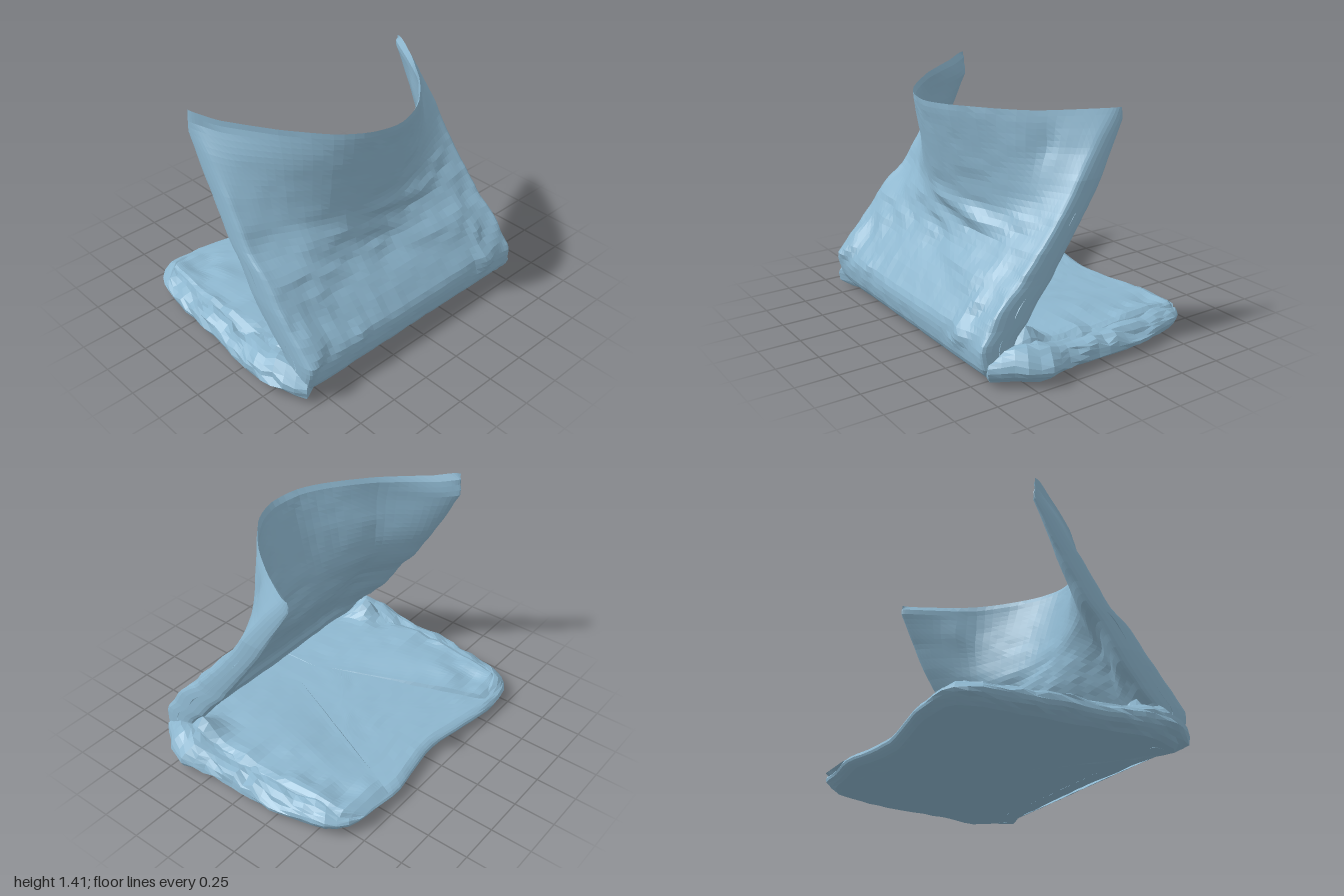
import * as THREE from 'three';

const material = new THREE.MeshStandardMaterial({ color: 0x8db6ce, flatShading: true, side: THREE.DoubleSide });
const { lerp, smoothstep } = THREE.MathUtils;

// Piecewise linear lookup through [key, value] pairs
function lookup(table, k) {
  if (k <= table[0][0]) return table[0][1];
  for (let i = 1; i < table.length; i++) {
    const [a, va] = table[i - 1], [b, vb] = table[i];
    if (k <= b) return lerp(va, vb, (k - a) / (b - a));
  }
  return table[table.length - 1][1];
}

// Smooth seeded value noise in 2D, range -1..1
function hash(i, j) {
  const s = Math.sin(i * 127.1 + j * 311.7) * 43758.5453;
  return (s - Math.floor(s)) * 2 - 1;
}
function noise(x, y) {
  const i = Math.floor(x), j = Math.floor(y);
  const a = smoothstep(x - i, 0, 1), b = smoothstep(y - j, 0, 1);
  return lerp(lerp(hash(i, j), hash(i + 1, j), a), lerp(hash(i, j + 1), hash(i + 1, j + 1), a), b);
}
const bump = (x, y, cx, cy, rx, ry) => Math.exp(-(((x - cx) / rx) ** 2) - ((y - cy) / ry) ** 2);

// Surface from a rule that maps u, v in 0..1 to a point
function surface(name, nu, nv, rule) {
  const positions = [], index = [];
  for (let j = 0; j <= nv; j++)
    for (let i = 0; i <= nu; i++) positions.push(...rule(i / nu, j / nv));
  for (let j = 0; j < nv; j++)
    for (let i = 0; i < nu; i++) {
      const a = j * (nu + 1) + i, b = a + 1, d = a + nu + 1, c = d + 1;
      index.push(a, b, d, b, c, d);
    }
  const geometry = new THREE.BufferGeometry();
  geometry.setAttribute('position', new THREE.Float32BufferAttribute(positions, 3));
  geometry.setIndex(index);
  geometry.computeVertexNormals();
  const mesh = new THREE.Mesh(geometry, material);
  mesh.name = name;
  return mesh;
}

// Lying pouch with a rounded, crumpled rim and a shallow middle panel
function createPouch() {
  const outline = new THREE.CatmullRomCurve3([
    [-0.88, 0.72], [-0.95, 0.58], [-0.99, 0.45], [-0.96, 0.2], [-0.93, -0.25], [-0.87, -0.6], [-0.78, -0.7],
    [-0.55, -0.73], [-0.3, -0.69], [-0.05, -0.65], [0.2, -0.68], [0.37, -0.71], [0.55, -0.69], [0.8, -0.65],
    [0.87, -0.55], [0.94, -0.2], [0.95, 0.2], [0.99, 0.45], [0.91, 0.58], [0.83, 0.7], [0.72, 0.66], [0, 0.65], [-0.76, 0.66],
  ].map(([x, z]) => new THREE.Vector3(x, 0, z)), true, 'centripetal');
  const rim = outline.getSpacedPoints(90);

  return surface('lyingPouch', 90, 40, (u, v) => {
    const p = rim[Math.round((1 - u) * 90) % 90];
    // v runs from the underside centre, round the rim, to the top centre
    const angle = v - 0.5;
    const s = 1 - Math.pow(Math.abs(angle) * 2, 1.6);
    const x = p.x * s, z = p.z * s;
    const edge = Math.sign(angle) * Math.pow(Math.min(1, (1 - s) / 0.08), 0.5);
    const sides = smoothstep(Math.abs(x), 0.6, 0.85);
    const knuckles = 0.05 * (bump(x, z, -0.86, 0.5, 0.15, 0.2) + bump(x, z, 0.86, 0.5, 0.15, 0.2));
    const top = lerp(lerp(0.11, 0.14, smoothstep(z, -0.7, 0.3)), 0.155, sides) + knuckles;
    const low = 0.012 + 0.015 * bump(x, z, 0, 0.7, 0.3, 0.2) + 0.02 * smoothstep(-z, 0.45, 0.7);
    const rough = smoothstep(s, 0.6, 0.95) * smoothstep(Math.abs(x), 0.3, 0.85);
    const y = lerp(low, top, 0.5 + edge / 2) + noise(x * 13 + 5, z * 13 + v * 9) * (angle > 0 ? 0.003 + 0.018 * rough : 0.004);
    const push = 1 + 0.015 * rough * noise(z * 15, v * 30 + x * 4);
    return [x * push, Math.max(0, y), z * push];
  });
}

// Folded side panel on the pouch: diagonal inner edge, rising to a crumpled outer ridge
function createSidePanel(side) {
  const outerX = [[-0.69, 0.7], [-0.6, 0.81], [-0.25, 0.88], [0.2, 0.91], [0.45, 0.92], [0.6, 0.84]];
  const height = [[-0.69, 0.13], [-0.6, 0.165], [-0.4, 0.16], [-0.1, 0.18], [0.3, 0.165], [0.6, 0.15]];
  return surface(side > 0 ? 'leftSidePanel' : 'rightSidePanel', 20, 30, (s, t) => {
    const z = lerp(0.6, -0.69, t);
    const inner = side * (0.03 + Math.max(0, 0.36 - z) * 0.46) - 0.06;
    const across = side > 0 ? s : 1 - s;
    const x = lerp(inner, side * lookup(outerX, z), across);
    const arch = Math.min(1, across / 0.05) * (1 - smoothstep(across, 0.86, 1)) * smoothstep(z, -0.7, -0.62);
    const rise = lerp(0.14, lookup(height, z), smoothstep(across, 0.05, 0.5));
    const crumple = 0.003 + 0.016 * smoothstep(Math.abs(x), 0.5, 0.8);
    const dent = 0.035 * bump(x, z, side * 0.64, -0.53, 0.1, 0.08);
    // Gathered cloth standing up where the raised flap meets the pouch
    const gather = 0.13 * bump(x, z, side * 0.79, 0.43, 0.09, 0.09);
    return [x, lerp(0.1, rise, arch) + arch * (noise(x * 12, z * 12) * crumple - dent + gather), z];
  });
}

// Raised flap: leans back at its thick sides, bows forward in the thin upper middle
function createFlap() {
  const lowerZ = [[0.012, 0.6], [0.05, 0.675], [0.1, 0.705], [0.19, 0.72], [0.25, 0.71], [0.36, 0.625], [0.5, 0.505]];
  const sideZ = [...lowerZ, [0.6, 0.41], [0.8, 0.22], [1, 0.085], [1.2, -0.07], [1.34, -0.2], [1.42, -0.2]];
  const middleZ = [...lowerZ, [0.57, 0.445], [0.63, 0.42], [0.8, 0.42], [1, 0.46], [1.33, 0.53]];
  const sideDepth = [[0.012, 0.1], [0.1, 0.2], [0.2, 0.22], [0.3, 0.26], [0.45, 0.26], [0.57, 0.23], [0.8, 0.18], [1, 0.175], [1.2, 0.14], [1.28, 0.11], [1.35, 0.04]];
  const middleDepth = [[0.012, 0.1], [0.2, 0.19], [0.4, 0.13], [0.6, 0.07], [0.8, 0.055], [1.1, 0.035], [1.33, 0.015]];
  const leftX = [[0.02, 0.78], [0.1, 0.82], [0.5, 0.785], [1, 0.77], [1.34, 0.725]];
  const rightX = [[0.02, -0.82], [0.1, -0.86], [0.5, -0.87], [1, -0.85], [1.42, -0.84]];
  const topY = [[-1, 1.42], [-0.9, 1.39], [-0.4, 1.35], [0, 1.335], [0.35, 1.34], [0.7, 1.33], [1, 1.345]];

  // Horizontal creases across the middle, slanting ones towards the lower corners
  const wrinkles = (x, y) => {
    const band = smoothstep(y, 0.35, 0.52) * (1 - smoothstep(y, 0.74, 0.86));
    const folds = noise(x * 4 + 3, y * 13 + x * 3) * 0.02 + noise(x * 9, y * 20) * 0.01;
    const slant = noise(x * 8 + y * 6, y * 11 - x * 9) * 0.022 * smoothstep(Math.abs(x), 0.25, 0.6) * (1 - smoothstep(y, 0.4, 0.65));
    return band * folds + smoothstep(y, 0.1, 0.25) * slant;
  };

  return surface('raisedFlap', 52, 84, (s, v) => {
    const u = Math.sin((s - 0.5) * Math.PI);
    const front = v <= 0.5;
    const t = front ? v * 2 : 2 - v * 2;
    const y = lerp(0.012, lookup(topY, u), t);
    const x = lerp(lookup(rightX, y), lookup(leftX, y), (u + 1) / 2);
    // The bowed area widens towards the top edge
    const narrow = lerp(1.9, 0.92, smoothstep(y, 0.6, 1.3));
    const bow = Math.pow(Math.max(0, Math.cos(u * Math.PI / 2)), narrow);
    const face = lerp(lookup(sideZ, y), lookup(middleZ, y), bow);
    const thick = lerp(lookup(middleDepth, y), lookup(sideDepth, y), smoothstep(Math.abs(u), 0.65, 0.97));
    const inset = thick * (1 - Math.sqrt(Math.max(0, 1 - Math.pow(Math.abs(u), 100)))) / 2;
    // Shallow dimple near the upper left corner
    const dimple = 0.03 * bump(x, y, 0.55, 1.15, 0.05, 0.11);
    const z = front ? face - inset - dimple : face - thick + inset - dimple;
    return [x, y, z + wrinkles(x, y) * (front ? 1 : 0.5) + 0.004 * noise(x * 14, y * 14)];
  });
}

export function createModel() {
  const group = new THREE.Group();
  group.name = 'openPouch';
  group.add(createPouch(), createSidePanel(1), createSidePanel(-1), createFlap());
  return group;
}
